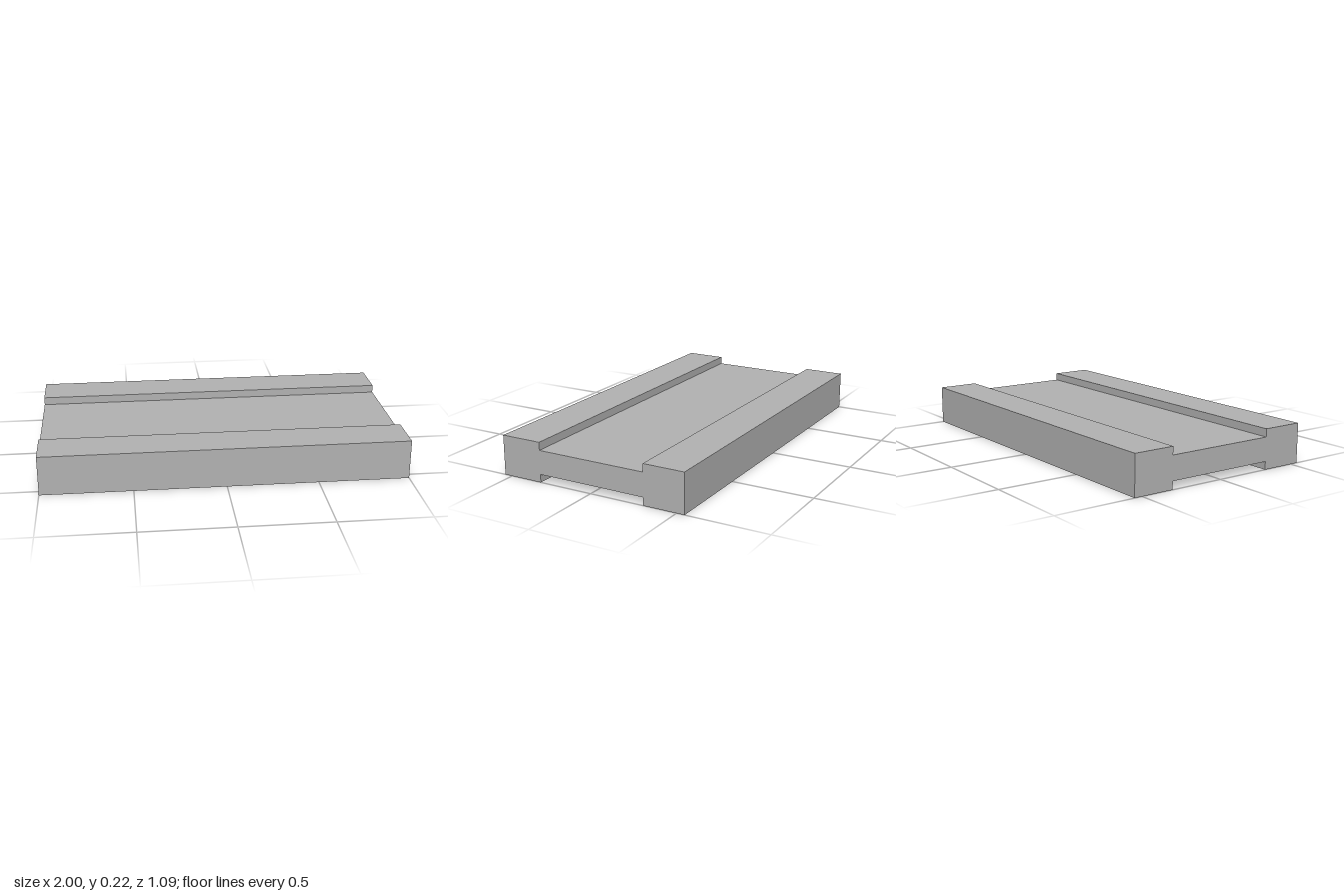
import * as THREE from 'three';

const LENGTH = 2;
const HEIGHT = 0.22;
const HALF_WIDTH = 0.545;  // outer half depth
const HALF_CHANNEL = 0.312; // half width of the recessed channels
const RECESS = 0.044;       // depth of the channels, top and bottom

export function createModel() {
  const group = new THREE.Group();
  group.name = 'channelledSlab';

  const grey = new THREE.MeshStandardMaterial({ color: 0xb2b2b2 });
  grey.name = 'plain grey';

  // H-shaped cross-section: two thick rails joined by a thinner web
  const profile = new THREE.Shape([
    [-HALF_WIDTH, 0], [-HALF_CHANNEL, 0],
    [-HALF_CHANNEL, RECESS], [HALF_CHANNEL, RECESS],
    [HALF_CHANNEL, 0], [HALF_WIDTH, 0],
    [HALF_WIDTH, HEIGHT], [HALF_CHANNEL, HEIGHT],
    [HALF_CHANNEL, HEIGHT - RECESS], [-HALF_CHANNEL, HEIGHT - RECESS],
    [-HALF_CHANNEL, HEIGHT], [-HALF_WIDTH, HEIGHT],
  ].map(([z, y]) => new THREE.Vector2(z, y)));

  // Run the section along x
  const geometry = new THREE.ExtrudeGeometry(profile, { depth: LENGTH, bevelEnabled: false });
  geometry.translate(0, 0, -LENGTH / 2).rotateY(Math.PI / 2);

  const slab = new THREE.Mesh(geometry, grey);
  slab.name = 'slab';
  group.add(slab);
  return group;
}
